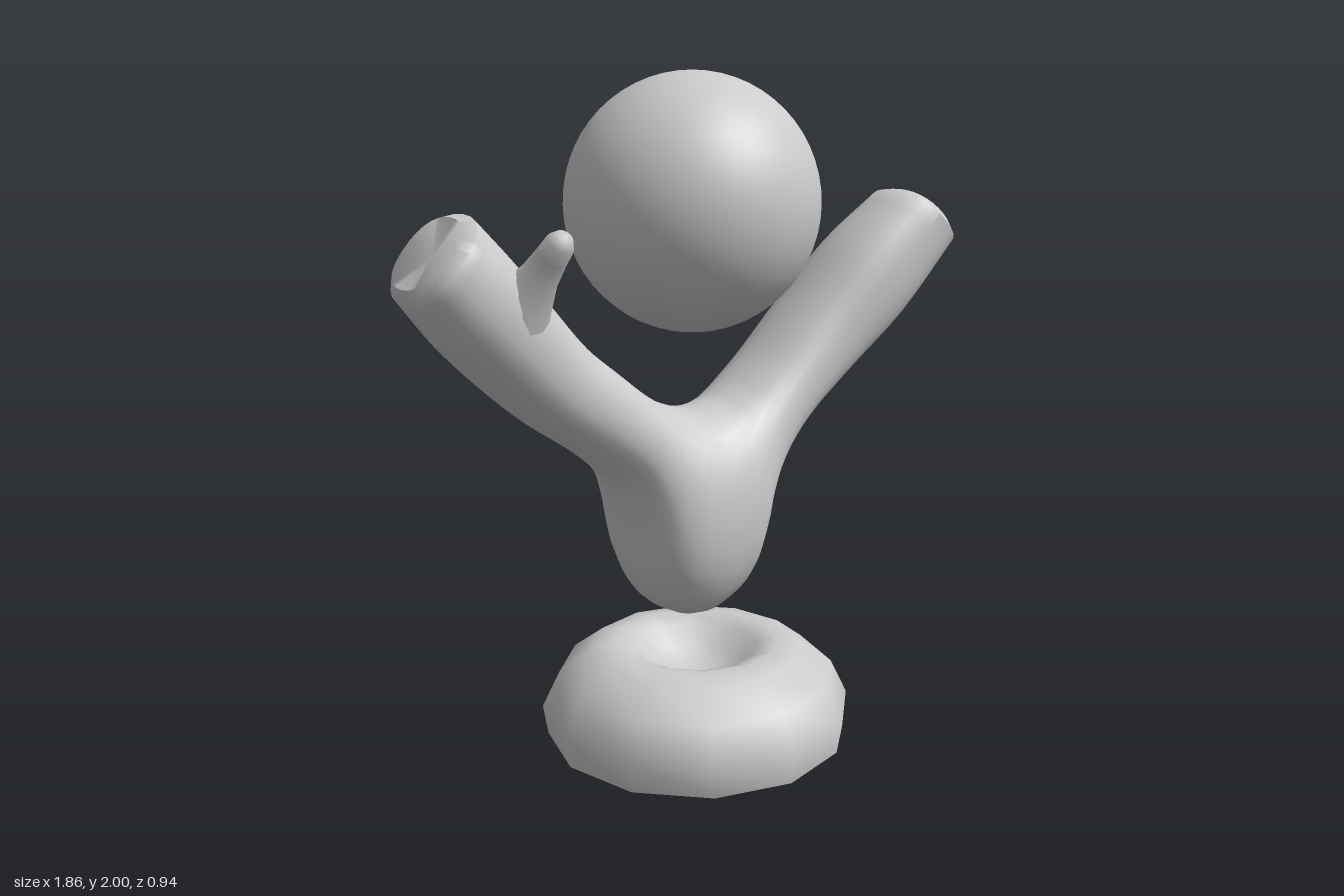
import * as THREE from 'three';
import { toCreasedNormals } from 'three/addons/utils/BufferGeometryUtils.js';

const material = new THREE.MeshStandardMaterial({ color: 0xcccccc, side: THREE.DoubleSide });

function add(group, name, geometry) {
  const mesh = new THREE.Mesh(geometry, material);
  mesh.name = name;
  group.add(mesh);
  return mesh;
}

// Sections fan from one arm tip, round the trunk, to the other arm tip:
// upper edge x, y, lower edge x, y, centre z, half depth
const sections = [
  [-0.755, 1.65, -0.93, 1.44, 0.05, 0.155],
  [-0.66, 1.55, -0.83, 1.315, 0.045, 0.165],
  [-0.545, 1.43, -0.7, 1.19, 0.02, 0.165],
  [-0.41, 1.285, -0.55, 1.065, -0.005, 0.16],
  [-0.28, 1.18, -0.385, 0.95, -0.02, 0.165],
  [-0.19, 1.11, -0.28, 0.85, -0.03, 0.18],
  [-0.13, 1.075, -0.235, 0.72, -0.03, 0.195],
  [-0.08, 1.055, -0.21, 0.58, -0.025, 0.21],
  [-0.045, 1.045, -0.15, 0.465, -0.02, 0.22],
  [0, 1.04, -0.025, 0.415, -0.02, 0.225],
  [0.045, 1.045, 0.1, 0.47, -0.02, 0.22],
  [0.08, 1.05, 0.165, 0.58, -0.025, 0.21],
  [0.12, 1.065, 0.205, 0.7, -0.03, 0.195],
  [0.18, 1.1, 0.275, 0.83, -0.04, 0.18],
  [0.275, 1.18, 0.38, 0.945, -0.045, 0.17],
  [0.41, 1.33, 0.55, 1.08, -0.035, 0.165],
  [0.565, 1.51, 0.74, 1.245, 0, 0.16],
  [0.73, 1.64, 0.93, 1.46, 0.03, 0.145],
];

function forkGeometry() {
  const curve = (pick) => new THREE.CatmullRomCurve3(
    sections.map((s) => new THREE.Vector3(...pick(s))), false, 'catmullrom', 0.5);
  const upper = curve((s) => [s[0], s[1], s[4]]);
  const lower = curve((s) => [s[2], s[3], s[5]]);
  const rows = 68, sides = 28, positions = [], index = [];

  for (let i = 0; i <= rows; i++) {
    const u = upper.getPoint(i / rows), l = lower.getPoint(i / rows);
    for (let j = 0; j < sides; j++) {
      const a = (j / sides) * Math.PI * 2;
      const c = Math.sign(Math.cos(a)) * Math.abs(Math.cos(a)) ** 0.9;
      const s = Math.sign(Math.sin(a)) * Math.abs(Math.sin(a)) ** 0.85;
      positions.push(
        (u.x + l.x) / 2 + ((u.x - l.x) / 2) * c,
        (u.y + l.y) / 2 + ((u.y - l.y) / 2) * c,
        u.z + l.z * s);
      if (i < rows) {
        const k = i * sides, n = (j + 1) % sides;
        index.push(k + j, k + n, k + sides + j, k + n, k + sides + n, k + sides + j);
      }
    }
  }

  // Blunt ends: a bevel ring pushed outward, then a slightly dished centre
  for (const end of [0, 1]) {
    const u = upper.getPoint(end), l = lower.getPoint(end);
    const dir = end ? 1 : -1;
    const out = new THREE.Vector3((u.y - l.y) * dir, (l.x - u.x) * dir, 0).normalize();
    const mid = new THREE.Vector3((u.x + l.x) / 2, (u.y + l.y) / 2, u.z);
    const edge = end * rows * sides, ring = positions.length / 3, centre = ring + sides;
    for (let j = 0; j < sides; j++) {
      const p = new THREE.Vector3().fromArray(positions, (edge + j) * 3)
        .lerp(mid, 0.2).addScaledVector(out, 0.025);
      positions.push(p.x, p.y, p.z);
    }
    mid.addScaledVector(out, 0.005);
    positions.push(mid.x, mid.y, mid.z);
    for (let j = 0; j < sides; j++) {
      const n = (j + 1) % sides;
      const faces = [[edge + j, edge + n, ring + j], [edge + n, ring + n, ring + j], [ring + j, ring + n, centre]];
      for (const [a, b, c] of faces) index.push(...(end ? [a, b, c] : [a, c, b]));
    }
  }

  const geometry = new THREE.BufferGeometry();
  geometry.setAttribute('position', new THREE.Float32BufferAttribute(positions, 3));
  geometry.setIndex(index);
  return toCreasedNormals(geometry, 0.9);
}

// Rounded stub with a flared root, growing from one point to another
function addTwig(group, name, from, to) {
  const a = new THREE.Vector3(...from), dir = new THREE.Vector3(...to).sub(a);
  const h = dir.length();
  const profile = [[0.11, 0], [0.075, 0.3], [0.05, 0.55], [0.042, 0.75], [0.038, 0.9], [0.022, 0.98], [0, 1]]
    .map(([r, y]) => new THREE.Vector2(r, y * h));
  const twig = add(group, name, new THREE.LatheGeometry(profile, 14));
  twig.position.copy(a);
  twig.quaternion.setFromUnitVectors(new THREE.Vector3(0, 1, 0), dir.normalize());
}

export function createModel() {
  const group = new THREE.Group();

  // Squat base with a dimple in the top
  const profile = [[0, 0], [0.37, 0], [0.455, 0.03], [0.47, 0.12], [0.42, 0.225], [0.32, 0.3],
    [0.245, 0.315], [0.185, 0.295], [0.14, 0.24], [0.07, 0.205], [0, 0.2]]
    .map(([r, y]) => new THREE.Vector2(r, y));
  add(group, 'base', toCreasedNormals(new THREE.LatheGeometry(profile, 12), 0.95));

  // Forked branch with a stub on each arm
  const branch = new THREE.Group();
  branch.name = 'forkedBranch';
  add(branch, 'fork', forkGeometry());
  addTwig(branch, 'rightTwig', [-0.66, 1.37, 0.09], [-0.595, 1.61, 0.275]);
  addTwig(branch, 'leftTwig', [0.55, 1.2, -0.09], [0.77, 1.23, -0.215]);
  group.add(branch);

  // Ball above the fork
  const ball = add(group, 'ball', new THREE.SphereGeometry(0.365, 40, 28));
  ball.position.set(-0.008, 1.635, -0.008);

  return group;
}
